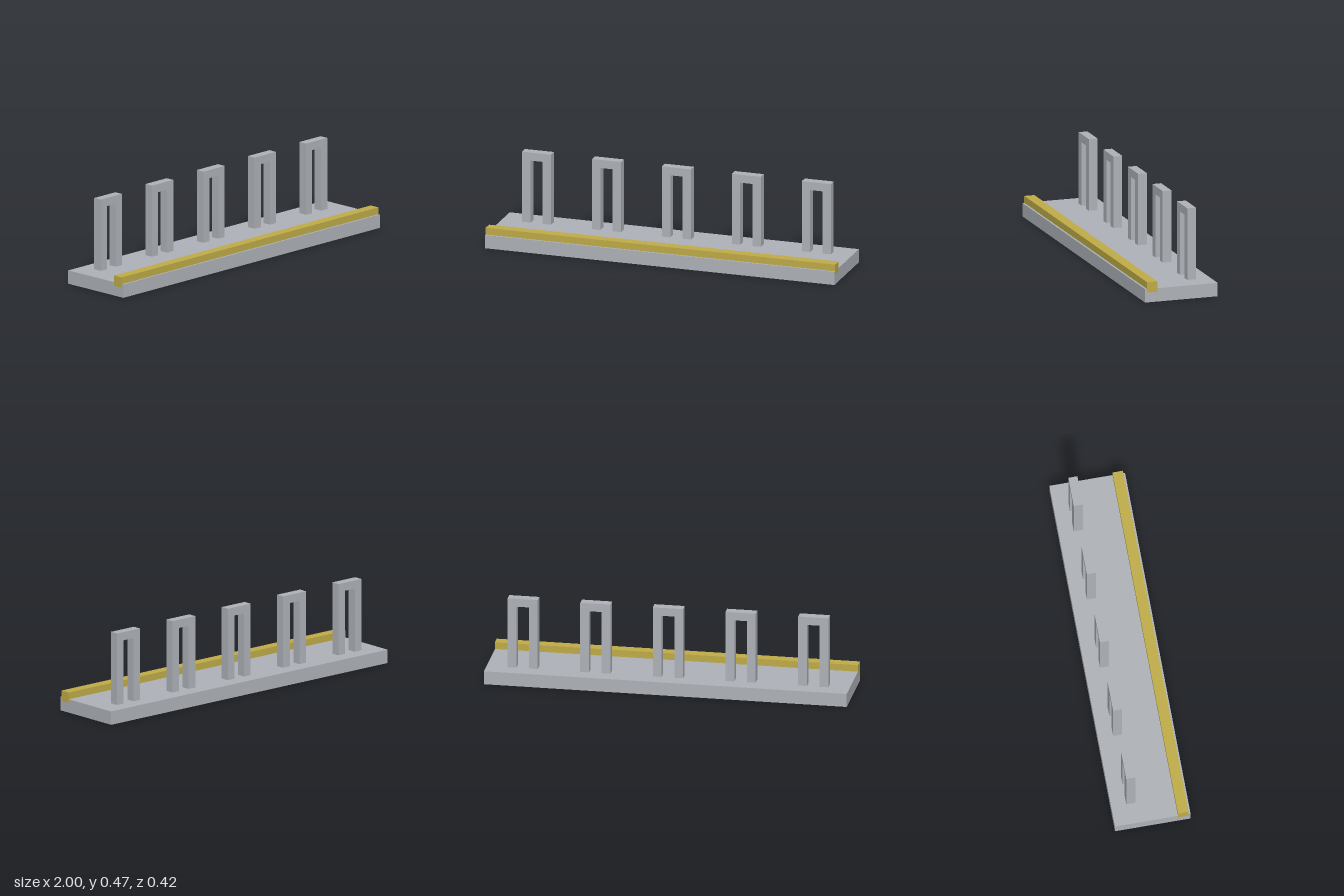
import * as THREE from 'three';

export function createModel() {
  const model = new THREE.Group();
  model.name = 'platformWithArches';

  const grey = new THREE.MeshStandardMaterial({ color: 0xaeb2b8 });
  grey.name = 'concrete grey';
  const yellow = new THREE.MeshStandardMaterial({ color: 0xbfac48 });
  yellow.name = 'edge yellow';

  const add = (name, geometry, material, x, y, z) => {
    const mesh = new THREE.Mesh(geometry, material);
    mesh.name = name;
    mesh.position.set(x, y, z);
    model.add(mesh);
  };

  // Platform slab, a hair shorter than the strip so their ends do not overlap
  add('platform', new THREE.BoxGeometry(1.998, 0.075, 0.417), grey, 0, 0.0375, 0);

  // Raised safety strip sunk into the platform near its front edge
  add('safetyStrip', new THREE.BoxGeometry(2, 0.058, 0.058), yellow, 0, 0.084, 0.168);

  // Square arch outline, open at the bottom
  const outer = 0.083, inner = 0.035, top = 0.4, innerTop = 0.354;
  const outline = new THREE.Shape([
    [-outer, 0], [-inner, 0], [-inner, innerTop], [inner, innerTop],
    [inner, 0], [outer, 0], [outer, top], [-outer, top],
  ].map(([x, y]) => new THREE.Vector2(x, y)));
  const archGeometry = new THREE.ExtrudeGeometry(outline, { depth: 0.05, bevelEnabled: false });

  // Row of five arches along the back
  for (let i = 0; i < 5; i++) {
    add(`arch${i + 1}`, archGeometry, grey, (i - 2) * 0.4, 0.075, -0.125);
  }

  return model;
}
